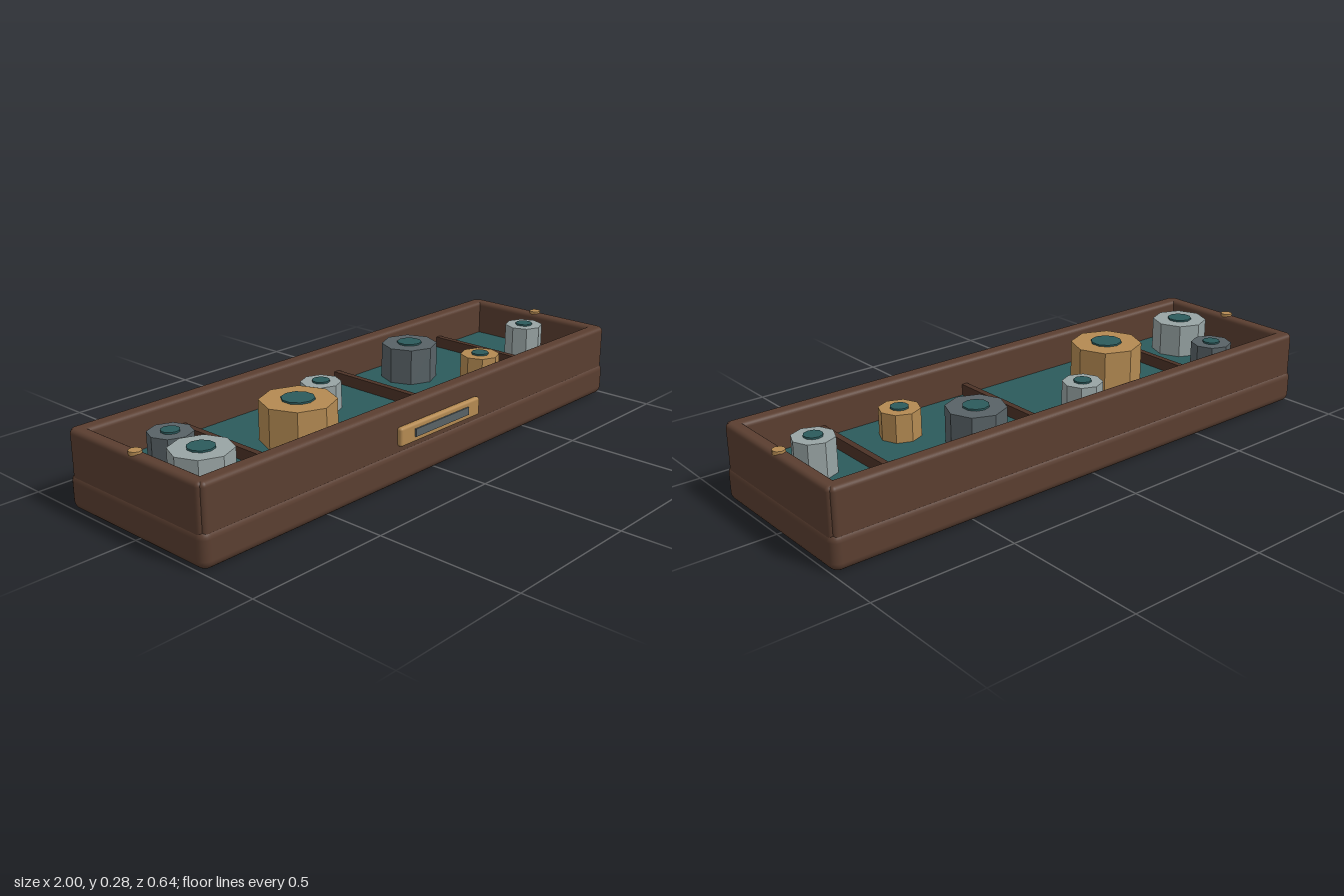
import * as THREE from 'three';
import { RoundedBoxGeometry } from 'three/addons/geometries/RoundedBoxGeometry.js';

const mat = (name, color, flatShading = false) => {
  const m = new THREE.MeshStandardMaterial({ color, flatShading });
  m.name = name;
  return m;
};

export function createModel() {
  const wood = mat('walnut', 0x5a3e30);
  const darkWood = mat('dark walnut', 0x4c3226);
  const felt = mat('teal felt', 0x2c5a5c);
  const brass = mat('brass', 0xb48a52);
  const silver = mat('silver', 0x98a4a4);
  const steel = mat('dark steel', 0x586266);

  const model = new THREE.Group();
  model.name = 'partsTray';
  const tray = new THREE.Group();
  tray.name = 'tray';
  tray.position.z = -0.008;
  model.add(tray);

  const add = (parent, name, geometry, material, x, y, z) => {
    const mesh = new THREE.Mesh(geometry, material);
    mesh.name = name;
    mesh.position.set(x, y, z);
    parent.add(mesh);
    return mesh;
  };
  // Box given by its vertical range, rounded when r > 0
  const box = (parent, name, material, w, y0, y1, d, x, z, r = 0) => {
    const h = y1 - y0;
    const g = r ? new RoundedBoxGeometry(w, h, d, 3, r) : new THREE.BoxGeometry(w, h, d);
    return add(parent, name, g, material, x, (y0 + y1) / 2, z);
  };

  // Case: base, long walls and end walls
  box(tray, 'base', wood, 2, 0, 0.125, 0.626, 0, 0, 0.03);
  for (const s of [1, -1]) {
    box(tray, s > 0 ? 'frontWall' : 'backWall', wood, 1.975, 0.05, 0.265, 0.055, 0, s * 0.28, 0.015);
    box(tray, s > 0 ? 'leftWall' : 'rightWall', wood, 0.048, 0.05, 0.265, 0.596, s * 0.972, 0, 0.015);
    add(tray, s > 0 ? 'leftPin' : 'rightPin', new THREE.CylinderGeometry(0.021, 0.021, 0.014, 8),
      brass, s * 0.974, 0.266, 0);
  }

  // Lining and dividers
  box(tray, 'feltFloor', felt, 1.92, 0.1, 0.14, 0.52, 0, 0);
  for (const x of [-0.603, 0.107, 0.684]) {
    box(tray, 'divider', darkWood, 0.022, 0.135, 0.18, 0.505, x, 0);
  }

  // Label holder on the front
  const holder = box(model, 'labelHolder', brass, 0.4, 0.134, 0.198, 0.022, 0, 0.307, 0.009);
  holder.scale.z = 1;
  box(model, 'labelPlate', steel, 0.27, 0.153, 0.18, 0.009, 0, 0.3185);

  // Eight-sided nuts: x, z, radius, hole radius, top, material
  const nuts = [
    [-0.815, 0.09, 0.1, 0.044, 0.26, silver],
    [-0.757, -0.125, 0.073, 0.031, 0.236, steel],
    [-0.378, 0.04, 0.126, 0.055, 0.278, brass],
    [-0.125, -0.11, 0.07, 0.031, 0.236, silver],
    [0.332, -0.11, 0.1, 0.044, 0.267, steel],
    [0.48, 0.1, 0.07, 0.031, 0.236, brass],
    [0.832, 0.04, 0.07, 0.031, 0.258, silver],
  ];
  for (const [x, z, r, hole, top, material] of nuts) {
    const nut = new THREE.Group();
    nut.name = 'nut';
    nut.position.set(x, 0, z);
    model.add(nut);
    const body = new THREE.CylinderGeometry(r, r, top - 0.135, 8).toNonIndexed();
    body.computeVertexNormals();
    add(nut, 'nutBody', body, material, 0, (top + 0.135) / 2, 0);
    add(nut, 'nutHole', new THREE.CylinderGeometry(hole, hole, 0.008, 10), felt, 0, top + 0.002, 0);
  }
  return model;
}
